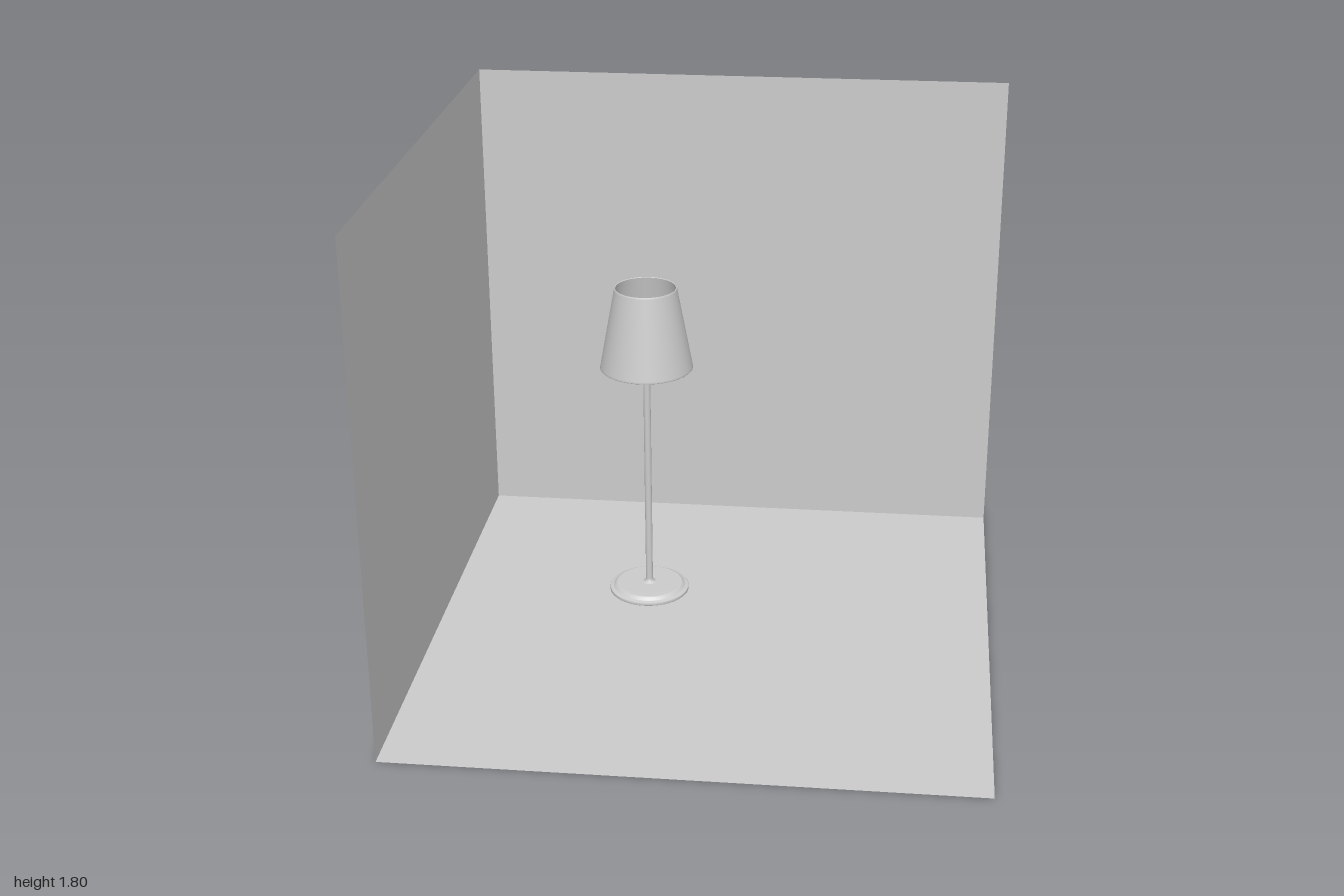
import * as THREE from 'three';

const grey = new THREE.MeshStandardMaterial({ color: 0xcccccc, side: THREE.DoubleSide });

function add(parent, name, geometry) {
  const mesh = new THREE.Mesh(geometry, grey);
  mesh.name = name;
  parent.add(mesh);
  return mesh;
}

// Turned part from [radius, height] points, listed upwards on the outside
function turned(points, segments = 64) {
  return new THREE.LatheGeometry(points.map(([r, y]) => new THREE.Vector2(r, y)), segments);
}

export function createModel() {
  const group = new THREE.Group();

  // Room corner: floor and two walls
  const floor = add(group, 'floor', new THREE.PlaneGeometry(2, 2));
  floor.rotation.x = -Math.PI / 2;
  const backWall = add(group, 'backWall', new THREE.PlaneGeometry(2, 1.8));
  backWall.position.set(0, 0.9, -1);
  const sideWall = add(group, 'sideWall', new THREE.PlaneGeometry(2, 1.8));
  sideWall.position.set(-1, 0.9, 0);
  sideWall.rotation.y = Math.PI / 2;

  const lamp = new THREE.Group();
  lamp.name = 'lamp';
  lamp.position.set(-0.27, 0, -0.27);
  group.add(lamp);

  // Stepped foot
  add(lamp, 'base', turned([
    [0, 0.002], [0.146, 0.002], [0.148, 0.004], [0.148, 0.012], [0.146, 0.015],
    [0.136, 0.016], [0.133, 0.018], [0.126, 0.026], [0.122, 0.028], [0.118, 0.029], [0, 0.029],
  ]));

  // Pole, flared into the foot and ending in a small collar
  add(lamp, 'stem', turned([
    [0.03, 0.028], [0.021, 0.031], [0.016, 0.036], [0.013, 0.046], [0.013, 0.885],
    [0.018, 0.89], [0.018, 0.93], [0.015, 0.935], [0, 0.935],
  ], 32));

  // Bulb inside the shade
  const bulb = add(lamp, 'bulb', new THREE.SphereGeometry(0.037, 32, 20));
  bulb.position.y = 0.965;

  // Open tapered shade with a thin wall
  add(lamp, 'shade', turned([
    [0.108, 1.208], [0.164, 0.906], [0.166, 0.904], [0.168, 0.906],
    [0.167, 0.912], [0.113, 1.203], [0.112, 1.208], [0.11, 1.21], [0.108, 1.208],
  ]));

  return group;
}
